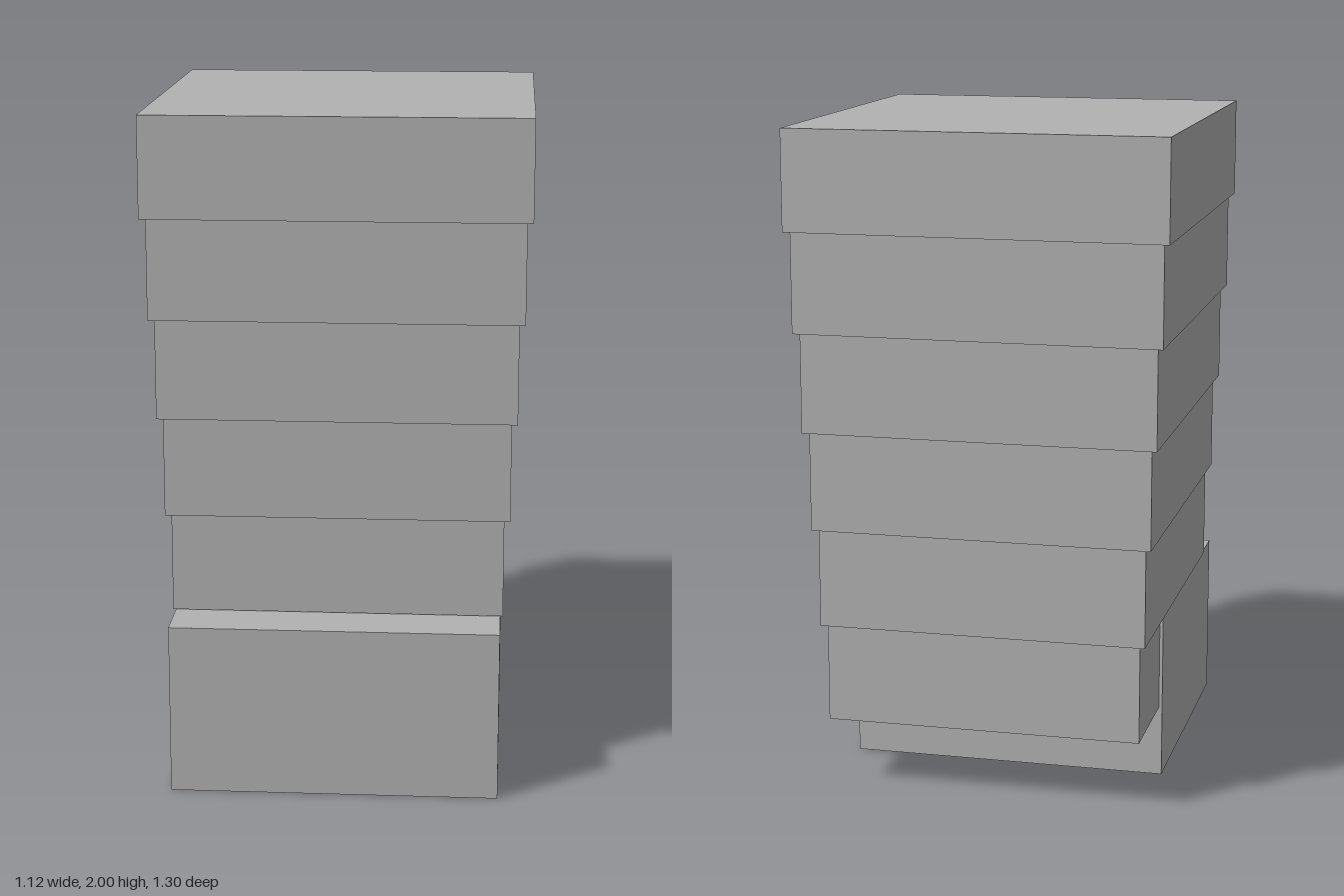
import * as THREE from 'three';

// Box given by its half width and its y and z limits
function block(name, halfX, y0, y1, z0, z1, material) {
  const mesh = new THREE.Mesh(new THREE.BoxGeometry(halfX * 2, y1 - y0, z1 - z0), material);
  mesh.position.set(0, (y0 + y1) / 2, (z0 + z1) / 2);
  mesh.name = name;
  return mesh;
}

export function createModel() {
  const model = new THREE.Group();
  model.name = 'steppedTower';
  const grey = new THREE.MeshStandardMaterial({ color: 0xb2b2b2 });
  grey.name = 'grey';

  // Base block, set forward of the tower
  model.add(block('base', 0.485, 0, 0.51, -0.235, 0.65, grey));

  // Six tiers, each slightly wider than the one below
  const tiers = 6, bottom = 0.215, height = (2 - bottom) / tiers;
  for (let i = 0; i < tiers; i++) {
    const grow = i * 0.0174;
    const y = bottom + i * height;
    model.add(block(`tier${i + 1}`, 0.475 + grow, y, y + height, -0.563 - grow, 0.471 + grow, grey));
  }
  return model;
}
